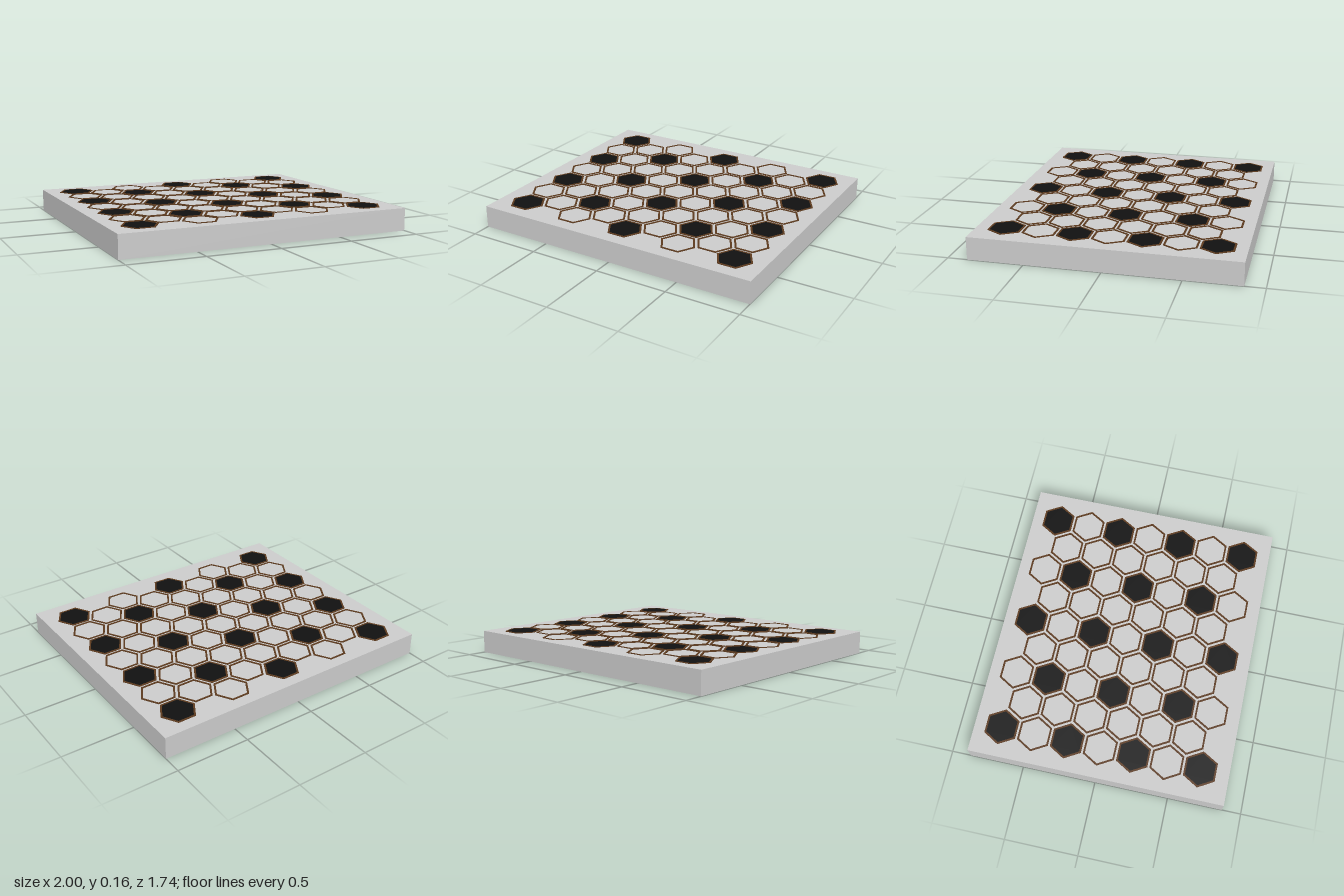
import * as THREE from 'three';

const BOARD = { width: 2, height: 0.153, depth: 1.74 };
const COLUMN = 0.1987;  // spacing between neighbouring columns
const ROW = 0.2268;     // spacing between hexagons in one column
const OUTER = 0.123;    // corner radius of a hexagon
const INNER = 0.109;    // corner radius inside its rim
const CENTRE_Z = -0.005;

// Corner points of a hexagon with its flat sides facing front and back
function hexPoints(radius) {
  return Array.from({ length: 6 }, (_, i) => {
    const a = (i * Math.PI) / 3;
    return new THREE.Vector2(Math.cos(a) * radius, Math.sin(a) * radius);
  });
}

// Lay a shape flat and give it a small height
function flatSlab(shape, height) {
  const geometry = new THREE.ExtrudeGeometry(shape, { depth: height, bevelEnabled: false });
  return geometry.rotateX(-Math.PI / 2);
}

export function createModel() {
  const model = new THREE.Group();
  model.name = 'hexGameBoard';

  const grey = new THREE.MeshStandardMaterial({ color: 0xcccccc });
  const brown = new THREE.MeshStandardMaterial({ color: 0x5c3a1e });
  const black = new THREE.MeshStandardMaterial({ color: 0x111111 });

  // Board slab
  const board = new THREE.Mesh(new THREE.BoxGeometry(BOARD.width, BOARD.height, BOARD.depth), grey);
  board.name = 'board';
  board.position.y = BOARD.height / 2;
  model.add(board);

  // Shared rim and fill shapes
  const rimShape = new THREE.Shape(hexPoints(OUTER));
  rimShape.holes.push(new THREE.Path(hexPoints(INNER).reverse()));
  const rimGeometry = flatSlab(rimShape, 0.004);
  const fillGeometry = flatSlab(new THREE.Shape(hexPoints(INNER)), 0.003);

  const addCell = (geometry, material, name, x, z) => {
    const mesh = new THREE.Mesh(geometry, material);
    mesh.name = name;
    mesh.position.set(x, BOARD.height, z);
    model.add(mesh);
  };

  // Nine columns: seven cells in the even ones, six in the odd ones between
  for (let c = 0; c < 9; c++) {
    const rows = c % 2 === 0 ? 7 : 6;
    for (let r = 0; r < rows; r++) {
      const x = (c - 4) * COLUMN;
      const z = CENTRE_Z + (r - (rows - 1) / 2) * ROW;
      addCell(rimGeometry, brown, 'cellRim', x, z);
      // Dark cells form a checker over the even columns
      if (c % 2 === 0 && (c / 2 + r) % 2 === 0) addCell(fillGeometry, black, 'darkCell', x, z);
    }
  }

  return model;
}
